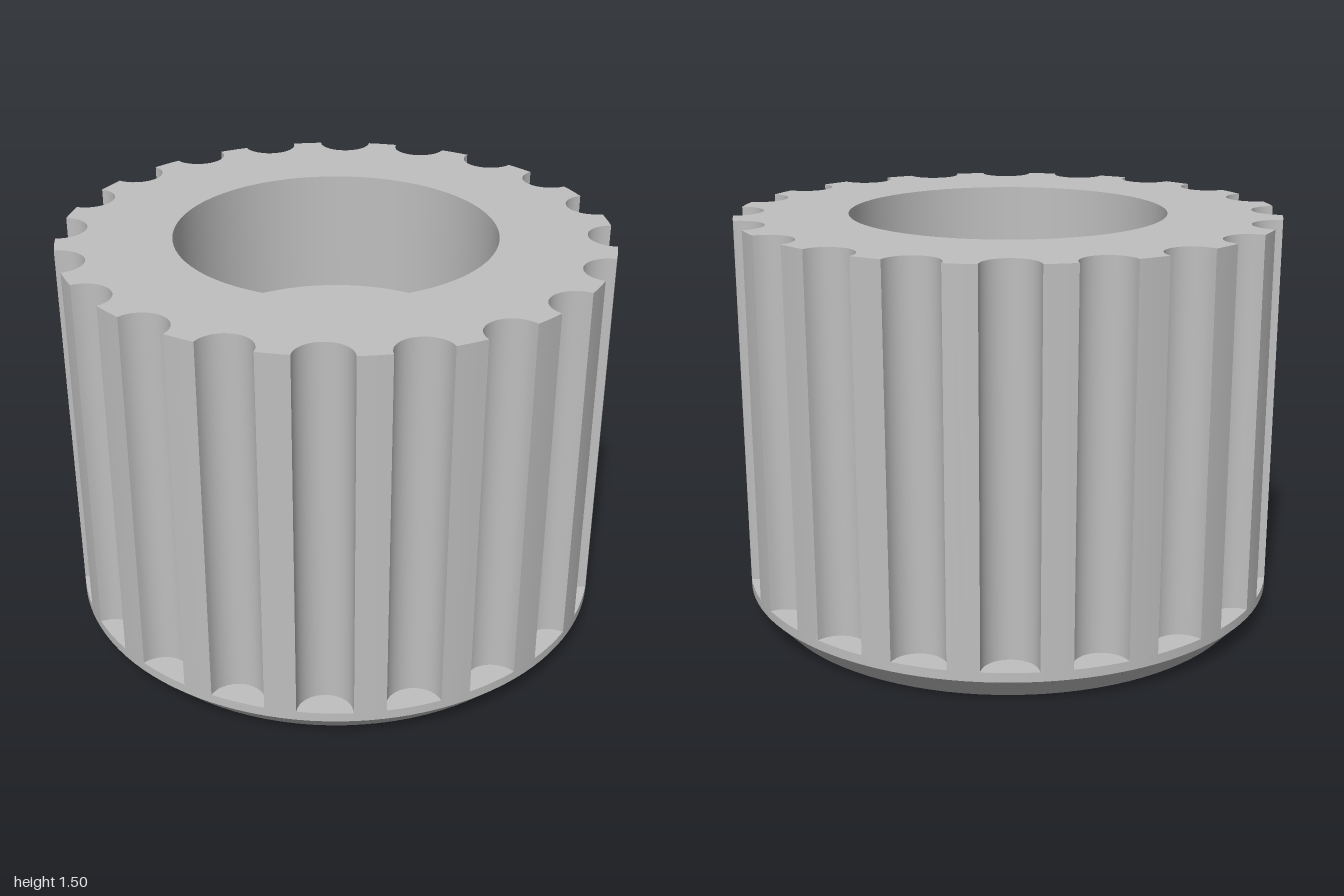
import * as THREE from 'three';
import { toCreasedNormals } from 'three/addons/utils/BufferGeometryUtils.js';

const TAU = Math.PI * 2;
const FLUTES = 20, FLUTE_R = 0.1, RIM_Y = 0.125, TOP_Y = 1.5;
const BORE_R = 0.585, FLOOR_Y = 1.035, LEDGE_Y = 0.9;
const SLOT_W = 0.065, SLOT_X = 0.28, SLOT_Y = 0.07;

// points along an arc, end point left out unless asked for
function arc(cx, cy, r, a0, a1, n, withEnd = false) {
  const pts = [];
  for (let i = 0; i < n + (withEnd ? 1 : 0); i++) {
    const a = a0 + (a1 - a0) * i / n;
    pts.push(new THREE.Vector2(cx + r * Math.cos(a), cy + r * Math.sin(a)));
  }
  return pts;
}
const circle = (r, n = 96) => arc(0, 0, r, 0, TAU, n);

// upright prism with an outline and one hole
function prism(outline, hole, y0, y1) {
  const shape = new THREE.Shape(outline);
  shape.holes.push(new THREE.Path(hole));
  const geo = new THREE.ExtrudeGeometry(shape, { depth: y1 - y0, bevelEnabled: false });
  geo.rotateX(-Math.PI / 2).translate(0, y0, 0);
  return toCreasedNormals(geo, 0.5);
}

// round outline with semicircular flutes cut into it
function flutedOutline() {
  const step = TAU / FLUTES, d = 2 * Math.asin(FLUTE_R / 2);
  const pts = [];
  for (let i = 0; i < FLUTES; i++) {
    const t = (i + 0.5) * step;
    pts.push(...arc(Math.cos(t), Math.sin(t), FLUTE_R,
      t + Math.PI * 1.5 - d / 2, t + Math.PI / 2 + d / 2, 16));
    pts.push(...arc(0, 0, 1, t + d, t + step - d, 3));
  }
  return pts;
}

// round outline with the pointer slot cut in from +x
function slottedOutline(r) {
  const a = Math.asin(SLOT_W / r);
  return [...arc(0, 0, r, a, TAU - a, 96, true),
    new THREE.Vector2(SLOT_X, -SLOT_W), new THREE.Vector2(SLOT_X, SLOT_W)];
}

// walls between two matching outlines at different heights
function loftWalls(lower, upper, y0, y1) {
  const pos = [];
  const n = lower.length;
  for (let i = 0; i < n; i++) {
    const j = (i + 1) % n;
    const a = [lower[i].x, y0, -lower[i].y], b = [lower[j].x, y0, -lower[j].y];
    const c = [upper[j].x, y1, -upper[j].y], e = [upper[i].x, y1, -upper[i].y];
    pos.push(...a, ...b, ...c, ...a, ...c, ...e);
  }
  const geo = new THREE.BufferGeometry();
  geo.setAttribute('position', new THREE.Float32BufferAttribute(pos, 3));
  return toCreasedNormals(geo, 0.5);
}

// flat face looking down
function faceDown(points, y) {
  const geo = new THREE.ShapeGeometry(new THREE.Shape(points));
  return geo.rotateX(Math.PI / 2).translate(0, y, 0);
}

export function createModel() {
  const grey = new THREE.MeshStandardMaterial({ color: 0xbfbfbf });
  grey.name = 'grey';
  const knob = new THREE.Group();
  knob.name = 'controlKnob';
  const add = (name, geo) => {
    const mesh = new THREE.Mesh(geo, grey);
    mesh.name = name;
    knob.add(mesh);
  };

  // fluted grip with its wide bore
  add('flutedGrip', prism(flutedOutline(), circle(BORE_R), RIM_Y, TOP_Y));

  // bore floor with a round mouth, then the D-shaped shaft hole
  add('boreFloor', prism(circle(BORE_R), circle(0.268), LEDGE_Y, FLOOR_Y));
  const flat = Math.acos(0.135 / 0.26);
  add('shaftSocket', prism(circle(BORE_R), arc(0, 0, 0.26, flat, TAU - flat, 64, true), RIM_Y, LEDGE_Y));

  // rim: top of the chamfer, straight band and flute floors
  const rim = [[0.98, SLOT_Y], [1, 0.09], [1, RIM_Y], [0, RIM_Y]]
    .map(([x, y]) => new THREE.Vector2(x, y));
  add('rim', toCreasedNormals(new THREE.LatheGeometry(rim, 120), 0.5));

  // chamfered face layer, open where the pointer slot runs
  const lower = slottedOutline(0.915), upper = slottedOutline(0.98);
  add('chamferAndSlotWalls', loftWalls(lower, upper, 0, SLOT_Y));
  add('face', faceDown(lower, 0));

  // inner surface of the pointer slot
  const a = Math.asin(SLOT_W / 0.98);
  add('pointerSlot', faceDown([new THREE.Vector2(SLOT_X, SLOT_W), new THREE.Vector2(SLOT_X, -SLOT_W),
    ...arc(0, 0, 0.98, -a, a, 6, true)], SLOT_Y));

  return knob;
}
